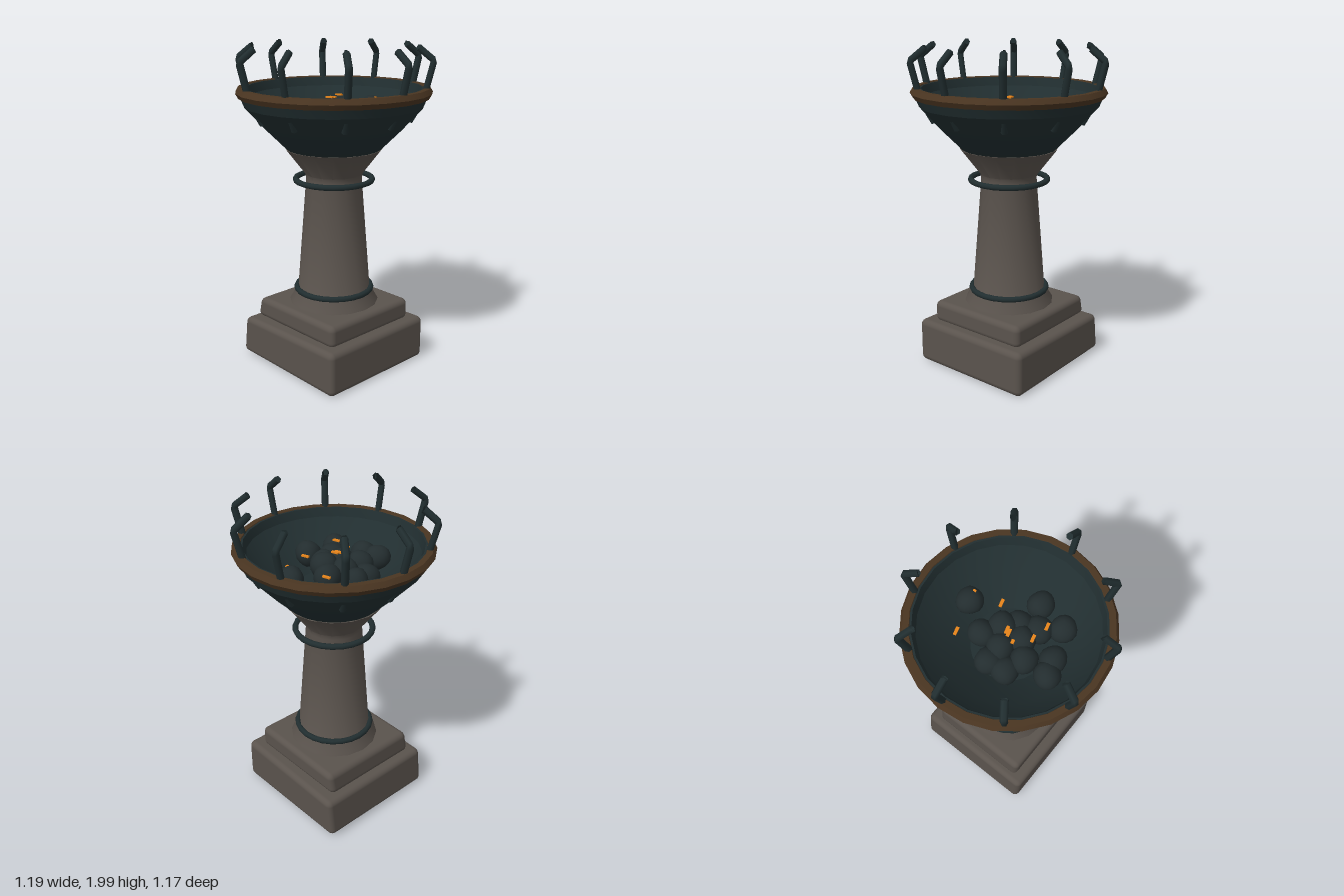
import * as THREE from 'three';
import { mergeVertices, toCreasedNormals } from 'three/addons/utils/BufferGeometryUtils.js';
import { RoundedBoxGeometry } from 'three/addons/geometries/RoundedBoxGeometry.js';

const mat = (name, color, side = THREE.FrontSide) => {
  const m = new THREE.MeshStandardMaterial({ color, side });
  m.name = name;
  return m;
};

export function createModel() {
  const stone = mat('stone', 0x5a534d);
  const iron = mat('dark iron', 0x212e30, THREE.DoubleSide);
  const bronze = mat('aged bronze', 0x4a3521);
  const coalMat = mat('coal', 0x232d2f);
  const emberMat = mat('ember', 0xf08a1c);

  const model = new THREE.Group();
  model.name = 'brazier';
  const add = (name, geometry, material, parent = model) => {
    const mesh = new THREE.Mesh(geometry, material);
    mesh.name = name;
    parent.add(mesh);
    return mesh;
  };
  const lathe = (points, sides, crease) => toCreasedNormals(
    new THREE.LatheGeometry(points.map(([r, y]) => new THREE.Vector2(r, y)), sides), crease);

  let seed = 11;
  const random = () => (seed = (seed * 16807) % 2147483647) / 2147483647;

  // Slightly uneven stone blocks: taller toward +x, wider toward the bottom left
  const block = (name, width, height, y, swell) => {
    const g = new RoundedBoxGeometry(width, height, width, 3, 0.035);
    const p = g.attributes.position;
    for (let i = 0; i < p.count; i++) {
      const x = p.getX(i), v = p.getY(i);
      p.setY(i, v * (1 + swell * x));
      if (x < 0) p.setX(i, x - 0.03 * (0.5 - v / height));
    }
    add(name, g, stone).position.y = y;
  };
  block('basePlinth', 0.81, 0.262, 0.15, 0.16);
  block('upperPlinth', 0.67, 0.135, 0.343, 0.08);

  // Tapered column with flared foot and capital
  add('column', lathe([
    [0.001, 0.39], [0.285, 0.39], [0.275, 0.42], [0.225, 0.5],
    [0.17, 1.2], [0.175, 1.23], [0.297, 1.388], [0.001, 1.388],
  ], 16, 0.6), stone);

  // Iron bands round the column
  for (const [name, y] of [['lowerBand', 0.495], ['upperBand', 1.195]]) {
    const band = add(name, new THREE.TorusGeometry(0.234, 0.018, 8, 24), iron);
    band.rotation.x = Math.PI / 2;
    band.position.y = y;
  }

  // Thick-walled fire bowl: outer wall, lip, inner wall, floor
  add('bowl', lathe([
    [0.001, 1.385], [0.285, 1.385], [0.41, 1.51], [0.533, 1.645], [0.555, 1.7],
    [0.545, 1.752], [0.518, 1.752], [0.5, 1.7], [0.4, 1.59], [0.22, 1.47], [0.001, 1.47],
  ], 24, 0.35), iron);

  // Rim hoop
  const rim = add('rim', toCreasedNormals(new THREE.TorusGeometry(0.549, 0.034, 6, 24), 0.5), bronze);
  rim.rotation.x = Math.PI / 2;
  rim.position.y = 1.727;

  // Ten hooked prongs, bent inward at the tip
  const prongPoints = [[0.45, 1.56], [0.53, 1.7], [0.582, 1.915], [0.495, 1.985]]
    .map(([r, y]) => new THREE.Vector3(r, y, 0));
  const prongPath = new THREE.CurvePath();
  for (let i = 0; i < 3; i++) prongPath.add(new THREE.LineCurve3(prongPoints[i], prongPoints[i + 1]));
  const prongGeo = new THREE.TubeGeometry(prongPath, 24, 0.021, 6);
  const capGeo = new THREE.CircleGeometry(0.021, 6);
  for (let i = 0; i < 10; i++) {
    const prong = new THREE.Group();
    prong.name = 'prong';
    prong.rotation.y = i * Math.PI / 5;
    add('prongRod', prongGeo, iron, prong);
    const cap = add('prongTip', capGeo, iron, prong);
    cap.position.copy(prongPoints[3]);
    cap.lookAt(prongPoints[3].clone().multiplyScalar(2).sub(prongPoints[2]));
    model.add(prong);
  }

  // Lumpy coals heaped in the bowl: x, z, y
  const coals = [
    [0.025, -0.3, 1.6], [-0.085, -0.125, 1.6], [-0.18, 0, 1.57], [-0.085, 0.005, 1.6],
    [0.015, -0.06, 1.615], [0.09, 0, 1.585], [-0.165, 0.1, 1.56], [-0.06, 0.15, 1.59],
    [0.02, 0.07, 1.6], [0.125, 0.105, 1.59], [0.255, 0.02, 1.585], [0.215, 0.205, 1.585],
    [0.04, 0.27, 1.58], [-0.05, 0.3, 1.575],
  ];
  for (const [x, z, y] of coals) {
    let g = new THREE.IcosahedronGeometry(0.079, 2);
    g.deleteAttribute('normal');
    g.deleteAttribute('uv');
    g = mergeVertices(g);
    const p = g.attributes.position, a = random() * 6, b = random() * 6;
    for (let i = 0; i < p.count; i++) {
      const k = 1 + 0.06 * Math.sin(p.getX(i) * 38 + a) * Math.cos(p.getZ(i) * 38 + b);
      p.setXYZ(i, p.getX(i) * k, p.getY(i) * k, p.getZ(i) * k);
    }
    g.computeVertexNormals();
    const coal = add('coal', g, coalMat);
    coal.position.set(x, y, z);
    coal.rotation.y = random() * 6;
  }

  // Glowing ember flakes: x, z, length
  const embers = [
    [-0.183, -0.218, 0.048], [0.097, -0.132, 0.048], [0.06, -0.292, 0.018], [-0.015, -0.004, 0.045],
    [-0.022, 0.014, 0.045], [-0.042, 0.056, 0.024], [0.04, 0.13, 0.045], [0.142, 0.147, 0.045],
  ];
  embers.forEach(([x, z, length], i) => {
    const ember = add('ember', new THREE.BoxGeometry(length, 0.009, 0.018), emberMat);
    ember.position.set(x, i === 3 || i === 4 ? 1.69 : 1.668, z);
    ember.rotation.y = 0.28;
  });

  return model;
}
